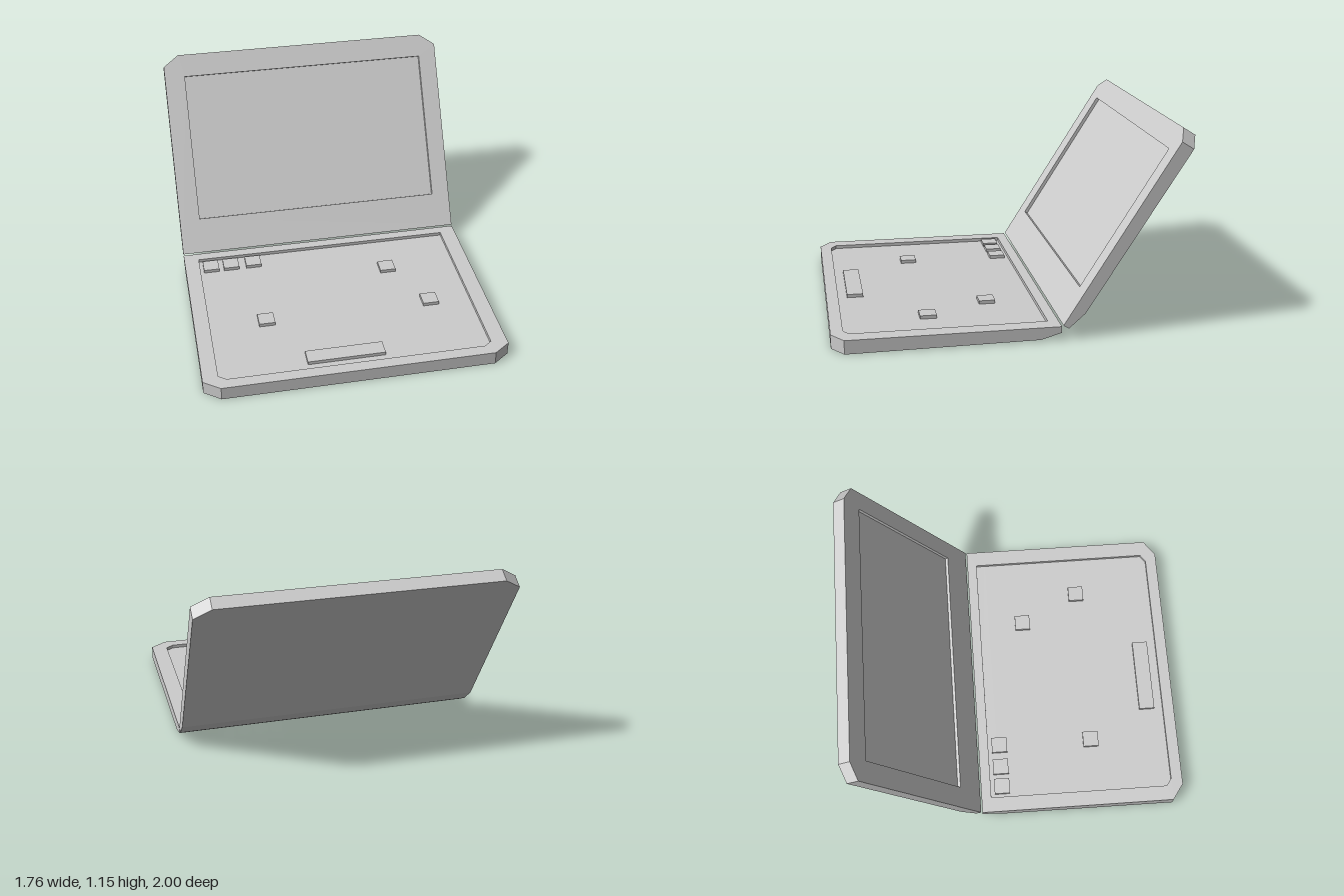
import * as THREE from 'three';

const HALF = 0.88, LENGTH = 1.256, THICK = 0.08, RECESS = 0.02;
const CHAMFER_X = 0.095, CHAMFER_Z = 0.068, BEVEL = 0.118;
const grey = new THREE.MeshStandardMaterial({ color: 0xcccccc, flatShading: true });

// Plan outline from z0 to z1 with the two far corners cut off
function outline(x0, x1, z0, z1, cx, cz) {
  return [[x0, z0], [x1, z0], [x1, z1 - cz], [x1 - cx, z1], [x0 + cx, z1], [x0, z1 - cz]]
    .map(([x, z]) => new THREE.Vector2(x, z));
}

function rect(x0, x1, z0, z1) {
  return [[x0, z0], [x1, z0], [x1, z1], [x0, z1]].map(([x, z]) => new THREE.Vector2(x, z));
}

// Extrudes a plan downward from y = top
function slab(points, top, depth, hole) {
  const shape = new THREE.Shape(points);
  if (hole) shape.holes.push(new THREE.Path(hole));
  const geo = new THREE.ExtrudeGeometry(shape, { depth, bevelEnabled: false });
  geo.rotateX(Math.PI / 2);
  geo.translate(0, top, 0);
  return geo;
}

// Underside height: steep bevel beside the hinge, then a slight taper
function underside(z) {
  return z < BEVEL
    ? THREE.MathUtils.mapLinear(z, 0, BEVEL, -0.036, -0.07)
    : THREE.MathUtils.mapLinear(z, BEVEL, LENGTH, -0.07, -THICK);
}

function shapeUnderside(geo) {
  const p = geo.attributes.position;
  for (let i = 0; i < p.count; i++) {
    if (p.getY(i) < -RECESS - 0.01) p.setY(i, underside(p.getZ(i)));
  }
  geo.computeVertexNormals();
  return geo;
}

function add(parent, name, geo) {
  const mesh = new THREE.Mesh(geo, grey);
  mesh.name = name;
  parent.add(mesh);
  return mesh;
}

// Half of the clamshell: hinge edge at z = 0, inner face at y = 0
function panel(name, recess) {
  const g = new THREE.Group();
  g.name = name;
  const plan = outline(-HALF, HALF, 0, LENGTH, CHAMFER_X, CHAMFER_Z);
  const body = outline(-HALF, HALF, BEVEL, LENGTH, CHAMFER_X, CHAMFER_Z);
  add(g, name + 'Frame', slab(plan, 0, RECESS, recess));
  add(g, name + 'Shell', shapeUnderside(slab(body, -RECESS, THICK - RECESS)));
  add(g, name + 'HingeBevel', shapeUnderside(slab(rect(-HALF, HALF, 0, BEVEL), -RECESS, THICK - RECESS)));
  return g;
}

export function createModel() {
  const model = new THREE.Group();
  model.name = 'laptop';

  // Base with the keyboard well
  const baseZ = 1 - LENGTH;
  const base = panel('base', outline(-0.79, 0.785, 0.06, 1.187, 0.045, 0.032));
  base.position.set(0, THICK, baseZ);
  model.add(base);

  // Keys standing on the floor of the well: x, z, width
  const keys = [
    [-0.72, -0.125], [-0.595, -0.125], [-0.455, -0.125],
    [0.36, 0.08], [0.54, 0.445], [-0.455, 0.453], [-0.055, 0.83, 0.45],
  ];
  for (const [x, z, width = 0.095] of keys) {
    const geo = new THREE.BoxGeometry(width, RECESS, 0.095);
    add(base, width > 0.1 ? 'spaceBar' : 'key', geo).position.set(x, -RECESS / 2, z - baseZ);
  }

  // Lid with the sunken screen, turned round and tilted back (its x runs mirrored)
  const lid = panel('lid', rect(-0.77, 0.755, 0.213, 1.118));
  lid.rotation.set(1.009, Math.PI, 0);
  lid.position.set(0, 0.085, -0.264);
  model.add(lid);

  return model;
}
